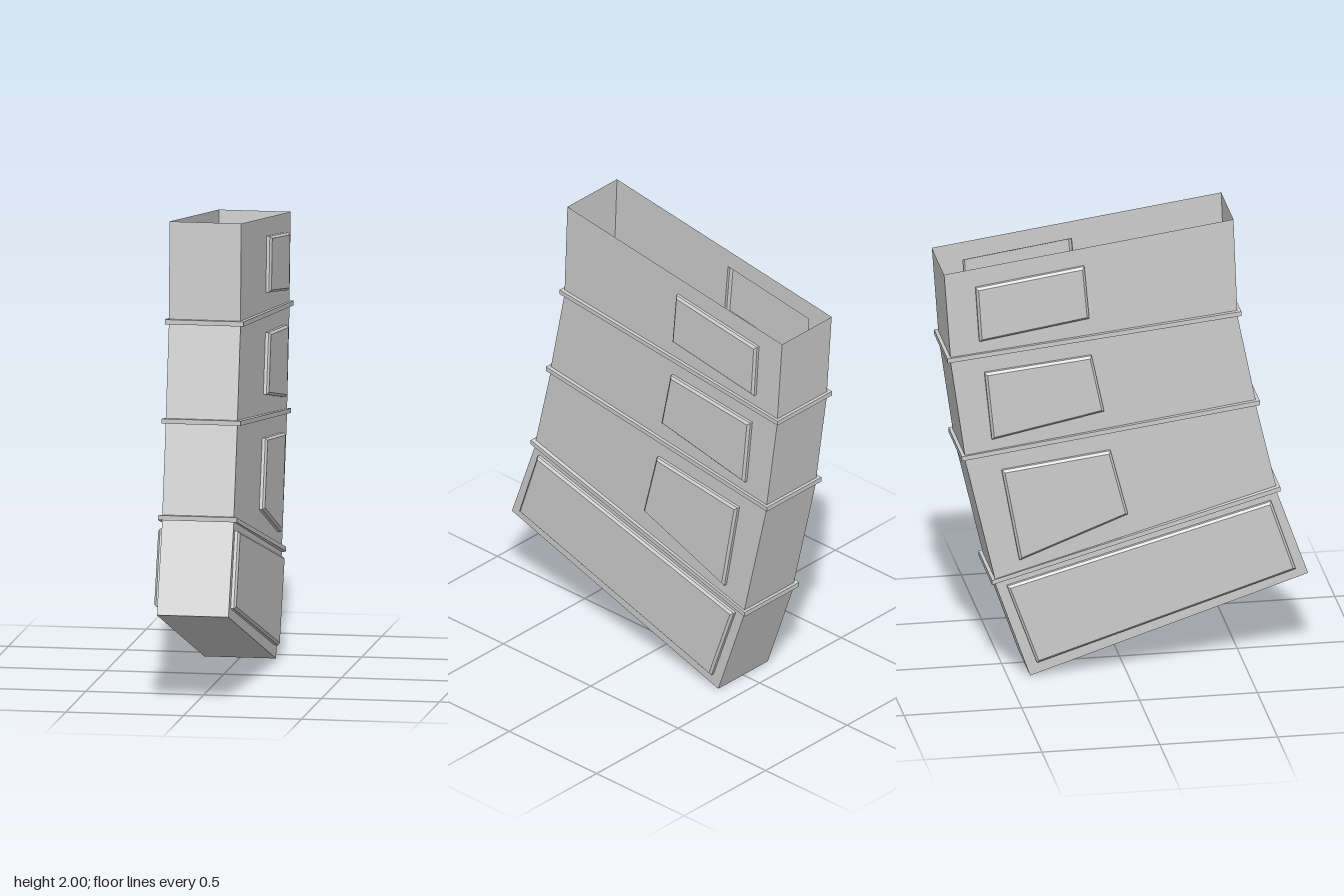
import * as THREE from 'three';

const W = 0.152;          // half width of the body
const RIB_OUT = 0.015;    // how far a rib stands out
const RIB_HALF = 0.01;    // half height of a rib
const material = new THREE.MeshStandardMaterial({ color: 0xcccccc, flatShading: true, side: THREE.DoubleSide });

// Side profile as [z, y], bottom to top; the three inner levels carry ribs
const FRONT = [[0.775, 0.383], [0.639, 0.775], [0.552, 1.17], [0.474, 1.578], [0.458, 2]];
const BACK = [[-0.405, 0], [-0.554, 0.436], [-0.682, 1.003], [-0.743, 1.449], [-0.77, 1.834]];

// Outline of the raised panel on each section as [z, y]
const PANELS = [
  [[0.616, 0.722], [-0.505, 0.415], [-0.378, 0.061], [0.72, 0.41]],
  [[-0.066, 0.997], [-0.527, 0.939], [-0.452, 0.529], [0.008, 0.706]],
  [[-0.146, 1.431], [-0.6, 1.384], [-0.569, 1.082], [-0.093, 1.177]],
  [[-0.177, 1.836], [-0.638, 1.77], [-0.622, 1.527], [-0.156, 1.6]],
];

// Mesh from a list of four-cornered faces
function quadMesh(name, quads) {
  const pos = quads.flatMap(([a, b, c, d]) => [a, b, c, a, c, d].flat());
  const geometry = new THREE.BufferGeometry();
  geometry.setAttribute('position', new THREE.Float32BufferAttribute(pos, 3));
  geometry.computeVertexNormals();
  const mesh = new THREE.Mesh(geometry, material);
  mesh.name = name;
  return mesh;
}

// Faces between two loops; only the listed edges
const loft = (lo, hi, edges = [0, 1, 2, 3]) => edges.map((i) => {
  const j = (i + 1) % 4;
  return [lo[i], lo[j], hi[j], hi[i]];
});

// Rectangular cross-section at a profile level
function ring(level, dy, out) {
  const [fz, fy] = FRONT[level], [bz, by] = BACK[level], x = W + out;
  return [
    [x, fy + dy, fz + out], [x, by + dy, bz - out],
    [-x, by + dy, bz - out], [-x, fy + dy, fz + out],
  ];
}

// Move every edge of a counter-clockwise outline inward by d
function inset(points, d) {
  const v = points.map((p) => new THREE.Vector2(...p));
  return v.map((p, i) => {
    const a = p.clone().sub(v[(i + 3) % 4]).normalize();
    const b = v[(i + 1) % 4].clone().sub(p).normalize();
    const k = d / a.cross(b);
    return [p.x + (b.x - a.x) * k, p.y + (b.y - a.y) * k];
  });
}

// Turn a flat part so that its +z faces out of side s
function placeOnSide(mesh, s) {
  mesh.geometry.rotateY(s * Math.PI / 2).translate(s * W, 0, 0);
  return mesh;
}

export function createModel() {
  const model = new THREE.Group();
  model.name = 'curvedCase';

  // Floor; the top stays open
  model.add(quadMesh('floor', [ring(0, 0, 0).reverse()]));

  // Ribs, hollow on the inside like pressed sheet
  for (let level = 1; level <= 3; level++) {
    const loops = [[-1, 0], [-1, 1], [1, 1], [1, 0]].map(([h, o]) => ring(level, h * RIB_HALF, o * RIB_OUT));
    model.add(quadMesh('rib', [0, 1, 2].flatMap((i) => loft(loops[i], loops[i + 1]))));
  }

  PANELS.forEach((panel, k) => {
    const lo = ring(k, k > 0 ? RIB_HALF : 0, 0);
    const hi = ring(k + 1, k < 3 ? -RIB_HALF : 0, 0);

    // Front and back walls of the section
    model.add(quadMesh('endWalls', loft(lo, hi, [1, 3])));

    for (const s of [1, -1]) {
      const flat = ([z, y]) => [-s * z, y];
      const outline = panel.map(flat);
      if (s > 0) outline.reverse();

      // Side wall, open behind the panel
      const toShape = (pts) => pts.map(([x, y]) => new THREE.Vector2(x, y));
      const corners = [lo[0], lo[1], hi[1], hi[0]].map(([, y, z]) => flat([z, y]));
      const shape = new THREE.Shape(toShape(corners));
      shape.holes.push(new THREE.Path(toShape(outline)));
      const wall = new THREE.Mesh(new THREE.ShapeGeometry(shape), material);
      wall.name = 'sideWall';
      model.add(placeOnSide(wall, s));

      // Raised panel with a bevelled rim
      const at = (pts, h) => pts.map(([x, y]) => [x, y, h]);
      const base = at(outline, 0), rim = at(outline, 0.013), face = at(inset(outline, 0.01), 0.022);
      model.add(placeOnSide(quadMesh('raisedPanel', [...loft(base, rim), ...loft(rim, face), face]), s));
    }
  });

  return model;
}
